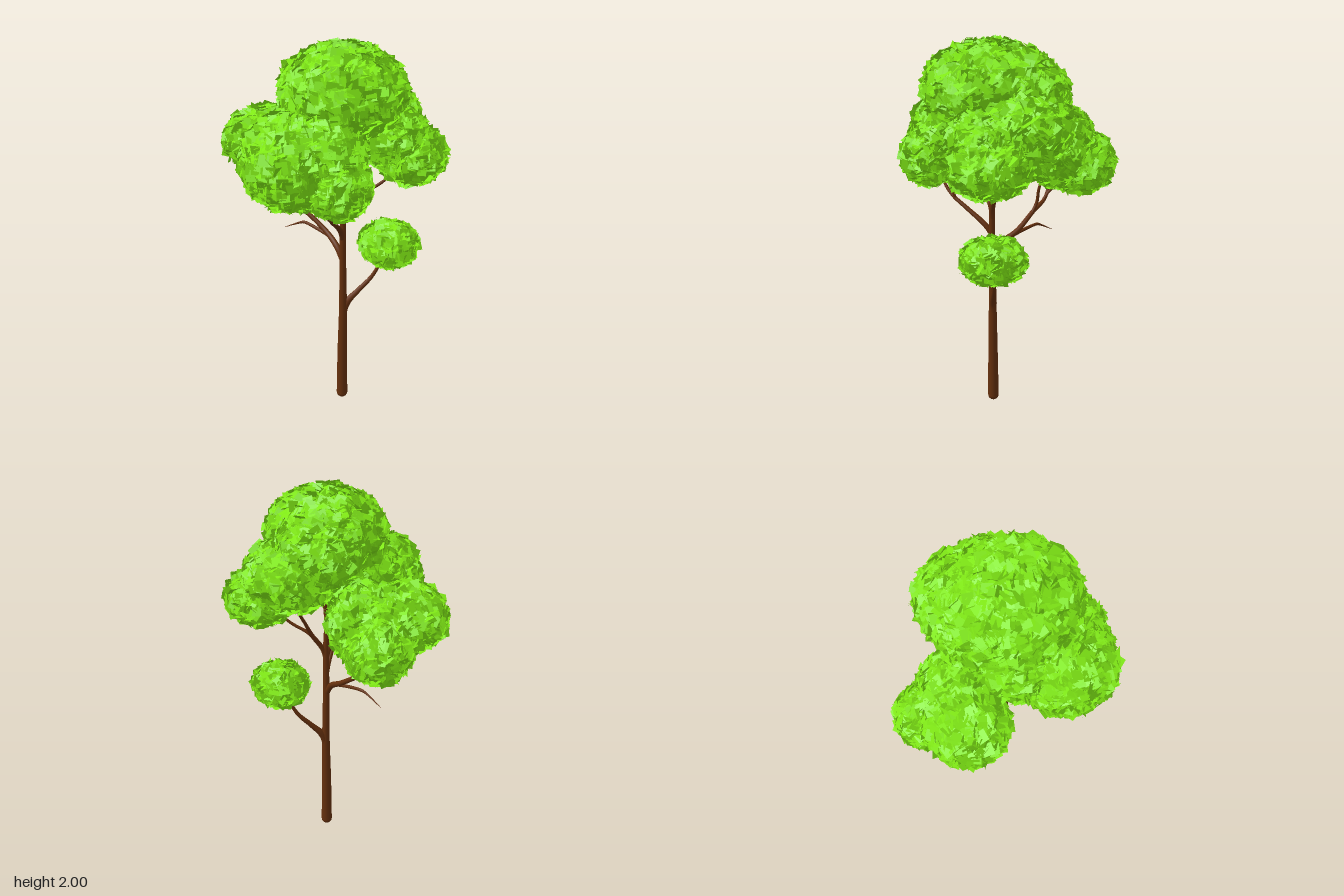
import * as THREE from 'three';

const bark = new THREE.MeshStandardMaterial({ color: 0x65300d });
const leaf = new THREE.MeshStandardMaterial({ color: 0x7fe815, side: THREE.DoubleSide });

// Small seeded generator for the leaf scatter
let seed = 7;
function rand() {
  seed = (seed * 1664525 + 1013904223) % 4294967296;
  return seed / 4294967296;
}

// Tube through points [x, y, z, radius], tapered along its length
function limb(name, pts, sides = 10) {
  const curve = new THREE.CatmullRomCurve3(pts.map(p => new THREE.Vector3(p[0], p[1], p[2])));
  const rings = pts.length * 8;
  const geo = new THREE.TubeGeometry(curve, rings, 1, sides, false);
  const pos = geo.attributes.position, nor = geo.attributes.normal;
  for (let i = 0; i < pos.count; i++) {
    const u = Math.floor(i / (sides + 1)) / rings;
    const c = curve.getPointAt(u);
    const t = curve.getUtoTmapping(u) * (pts.length - 1);
    const k = Math.min(Math.floor(t), pts.length - 2);
    const r = THREE.MathUtils.lerp(pts[k][3], pts[k + 1][3], t - k);
    pos.setXYZ(i, c.x + nor.getX(i) * r, c.y + nor.getY(i) * r, c.z + nor.getZ(i) * r);
  }
  const mesh = new THREE.Mesh(geo, bark);
  mesh.name = name;
  return mesh;
}

// Leaf clumps: centre and radii
const clumps = [
  { name: 'topClump', c: [0.01, 1.75, 0.12], r: [0.31, 0.23, 0.345] },
  { name: 'topRearClump', c: [0.07, 1.71, -0.03], r: [0.24, 0.2, 0.235] },
  { name: 'leftFrontClump', c: [-0.28, 1.47, 0.26], r: [0.255, 0.235, 0.255] },
  { name: 'leftMiddleClump', c: [-0.18, 1.53, 0.07], r: [0.2, 0.17, 0.2] },
  { name: 'frontClump', c: [-0.11, 1.38, 0.42], r: [0.155, 0.155, 0.155] },
  { name: 'frontUpperClump', c: [-0.15, 1.5, 0.35], r: [0.19, 0.2, 0.17] },
  { name: 'backClump', c: [-0.14, 1.31, -0.38], r: [0.17, 0.165, 0.19] },
  { name: 'backSideClump', c: [-0.29, 1.42, -0.28], r: [0.215, 0.175, 0.205] },
  { name: 'backInnerClump', c: [-0.11, 1.39, -0.24], r: [0.185, 0.205, 0.18] },
  { name: 'rightRearClump', c: [0.21, 1.58, 0.0], r: [0.235, 0.185, 0.255] },
  { name: 'rightClump', c: [0.35, 1.415, 0.17], r: [0.18, 0.145, 0.2] },
  { name: 'rightUpperClump', c: [0.24, 1.53, 0.16], r: [0.19, 0.16, 0.19] },
  { name: 'lowClump', c: [0.26, 0.92, 0.145], r: [0.15, 0.115, 0.165] },
];

function depthIn({ c, r }, p) {
  return Math.hypot((p.x - c[0]) / r[0], (p.y - c[1]) / r[1], (p.z - c[2]) / r[2]);
}

// Square cards scattered over an ellipsoid shell, each tilted at random
function leafClump(clump) {
  const { name, c, r } = clump;
  const area = 4 * Math.PI * (r[0] * r[1] + r[1] * r[2] + r[0] * r[2]) / 3;
  const count = Math.round(area * 2000);
  const verts = [], index = [];
  const dir = new THREE.Vector3(), p = new THREE.Vector3(), n = new THREE.Vector3();
  const z = new THREE.Vector3(0, 0, 1), q = new THREE.Quaternion(), v = new THREE.Vector3();
  for (let i = 0; i < count; i++) {
    const y = 1 - 2 * (i + 0.5) / count, a = i * 2.399963, s = Math.sqrt(1 - y * y);
    dir.set(s * Math.cos(a), y, s * Math.sin(a));
    const d = 0.88 + 0.12 * rand();
    p.set(c[0] + dir.x * r[0] * d, c[1] + dir.y * r[1] * d, c[2] + dir.z * r[2] * d);
    const tilt = [rand() - 0.5, rand() - 0.5, rand() - 0.5];
    const size = 0.021 + 0.008 * rand(), spin = Math.PI / 4 + (rand() - 0.5) * 0.6;
    if (clumps.some(o => o !== clump && depthIn(o, p) < 0.75)) continue;
    n.set(dir.x / r[0], dir.y / r[1], dir.z / r[2]).normalize();
    n.set(n.x + 1.5 * tilt[0], n.y + 1.5 * tilt[1], n.z + 1.5 * tilt[2]).normalize();
    q.setFromUnitVectors(z, n);
    const base = verts.length / 3;
    for (let k = 0; k < 4; k++) {
      const b = spin + k * Math.PI / 2;
      v.set(Math.cos(b), Math.sin(b), 0).multiplyScalar(size * 1.41).applyQuaternion(q).add(p);
      verts.push(v.x, v.y, v.z);
    }
    index.push(base, base + 1, base + 2, base, base + 2, base + 3);
  }
  const geo = new THREE.BufferGeometry();
  geo.setAttribute('position', new THREE.Float32BufferAttribute(verts, 3));
  geo.setIndex(index);
  geo.computeVertexNormals();
  const mesh = new THREE.Mesh(geo, leaf);
  mesh.name = name;
  return mesh;
}

export function createModel() {
  const tree = new THREE.Group();
  tree.name = 'tree';

  // Trunk on a rounded foot, running up into the crown
  const wood = new THREE.Group();
  wood.name = 'wood';
  const foot = new THREE.Mesh(new THREE.SphereGeometry(0.03, 14, 10), bark);
  foot.name = 'trunkFoot';
  foot.position.set(0.013, 0.03, 0.12);
  wood.add(
    foot,
    limb('trunk', [
      [0.013, 0.03, 0.12, 0.03], [0.013, 0.3, 0.12, 0.026], [0.016, 0.58, 0.12, 0.021],
      [0.013, 0.9, 0.12, 0.017], [0.014, 1.1, 0.12, 0.016], [0.012, 1.3, 0.12, 0.012],
      [0.05, 1.55, 0.12, 0.006]], 14),
    // Low branch
    limb('lowBranch', [
      [0.014, 0.5, 0.12, 0.016], [0.035, 0.59, 0.12, 0.02], [0.1, 0.66, 0.125, 0.014],
      [0.17, 0.73, 0.13, 0.011], [0.22, 0.82, 0.14, 0.008], [0.26, 0.92, 0.145, 0.003]]),
    // Back branch, its forks and the bare twig
    limb('backBranch', [
      [0.01, 0.85, 0.12, 0.014], [-0.005, 0.91, 0.08, 0.017], [-0.04, 0.97, -0.02, 0.014],
      [-0.12, 1.05, -0.12, 0.012], [-0.2, 1.1, -0.2, 0.01], [-0.24, 1.18, -0.23, 0.008],
      [-0.29, 1.3, -0.27, 0.003]]),
    limb('backFork', [
      [-0.11, 1.04, -0.11, 0.009], [-0.12, 1.1, -0.14, 0.009], [-0.11, 1.18, -0.15, 0.008],
      [-0.12, 1.33, -0.2, 0.003]]),
    limb('backSideFork', [
      [-0.19, 1.095, -0.19, 0.008], [-0.21, 1.13, -0.22, 0.008], [-0.19, 1.2, -0.29, 0.006],
      [-0.15, 1.28, -0.36, 0.003]]),
    limb('bareTwig', [
      [-0.02, 0.945, 0.02, 0.01], [-0.07, 0.965, -0.06, 0.009], [-0.12, 0.977, -0.14, 0.008],
      [-0.14, 0.968, -0.16, 0.006], [-0.2, 0.918, -0.24, 0.001]]),
    // Front branch and its fork
    limb('frontBranch', [
      [0.01, 0.97, 0.12, 0.013], [-0.005, 1.02, 0.15, 0.015], [-0.06, 1.1, 0.24, 0.012],
      [-0.11, 1.16, 0.31, 0.01], [-0.15, 1.22, 0.35, 0.008], [-0.2, 1.36, 0.37, 0.003]]),
    limb('frontFork', [
      [-0.1, 1.15, 0.3, 0.008], [-0.1, 1.19, 0.31, 0.008], [-0.08, 1.26, 0.31, 0.007],
      [-0.09, 1.38, 0.36, 0.003]]),
    // Upper branches into the left and right of the crown
    limb('leftUpperBranch', [
      [0.01, 1.06, 0.12, 0.012], [-0.01, 1.13, 0.125, 0.013], [-0.06, 1.2, 0.16, 0.01],
      [-0.11, 1.27, 0.2, 0.008], [-0.2, 1.4, 0.24, 0.003]]),
    limb('rightUpperBranch', [
      [0.01, 1.03, 0.12, 0.012], [0.03, 1.11, 0.12, 0.014], [0.09, 1.2, 0.11, 0.012],
      [0.13, 1.28, 0.08, 0.009], [0.17, 1.36, 0.06, 0.008], [0.2, 1.52, 0.03, 0.003]]),
    limb('rightFork', [
      [0.08, 1.185, 0.11, 0.008], [0.12, 1.22, 0.125, 0.009], [0.19, 1.26, 0.15, 0.008],
      [0.26, 1.32, 0.17, 0.006], [0.34, 1.4, 0.18, 0.003]]),
    limb('innerBranch', [
      [0.01, 1.18, 0.12, 0.01], [0.0, 1.25, 0.1, 0.01], [-0.02, 1.38, 0.06, 0.008],
      [-0.03, 1.58, 0.06, 0.003]]));
  tree.add(wood);

  // Foliage
  const foliage = new THREE.Group();
  foliage.name = 'foliage';
  clumps.forEach(k => foliage.add(leafClump(k)));
  tree.add(foliage);
  return tree;
}
